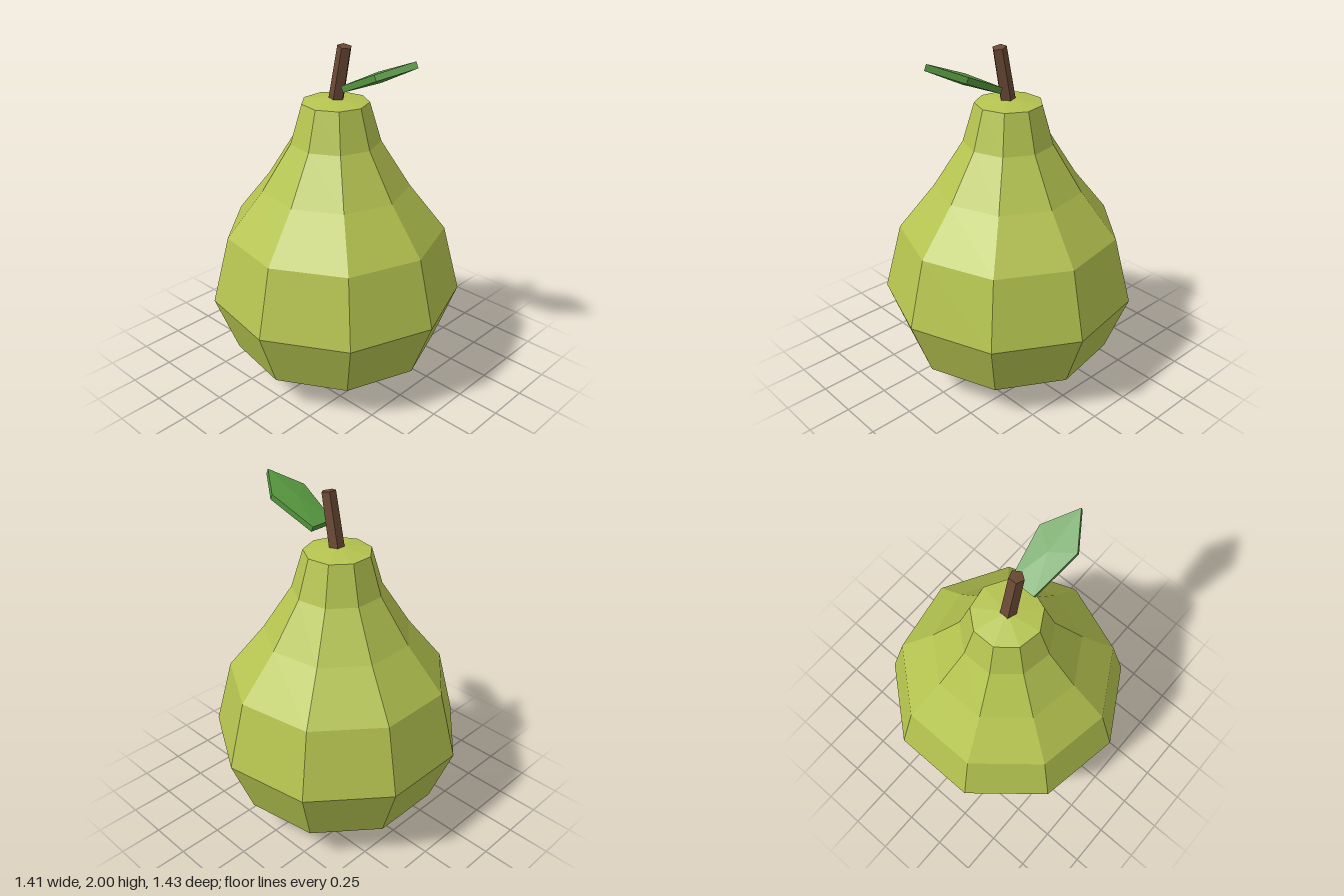
import * as THREE from 'three';

// Faceted solid of revolution with its first corner on +x
function facetedLathe(name, profile, sides, color) {
  const points = profile.map(([r, y]) => new THREE.Vector2(r, y));
  const geometry = new THREE.LatheGeometry(points, sides, Math.PI / 2);
  const material = new THREE.MeshStandardMaterial({ color, flatShading: true });
  const mesh = new THREE.Mesh(geometry, material);
  mesh.name = name;
  return mesh;
}

export function createModel() {
  const model = new THREE.Group();
  model.name = 'pear';

  // Nine-sided fruit, [radius, height] from base to crown
  const fruit = facetedLathe('fruit', [
    [0, 0], [0.3, 0.03], [0.6, 0.21], [0.727, 0.55], [0.627, 0.94],
    [0.42, 1.2], [0.254, 1.46], [0.188, 1.68], [0, 1.708],
  ], 9, 0xb5c450);
  fruit.position.x = -0.026;
  model.add(fruit);

  // Five-sided stem leaning towards the leaf
  const stem = facetedLathe('stem', [
    [0, 0], [0.044, 0], [0.04, 0.32], [0, 0.32],
  ], 5, 0x6b4a35);
  stem.position.set(-0.02, 1.677, 0);
  stem.rotation.z = -0.2;
  model.add(stem);

  // Flattened five-sided leaf, slightly domed on both faces
  const leaf = facetedLathe('leaf', [
    [0, -0.029], [1, -0.017], [1, 0.017], [0, 0.029],
  ], 5, 0x55963f);
  leaf.geometry.scale(0.261, 1, 0.124);
  leaf.geometry.computeVertexNormals();
  leaf.position.set(0.285, 1.872, 0);
  leaf.rotation.z = 0.425;
  model.add(leaf);

  return model;
}
